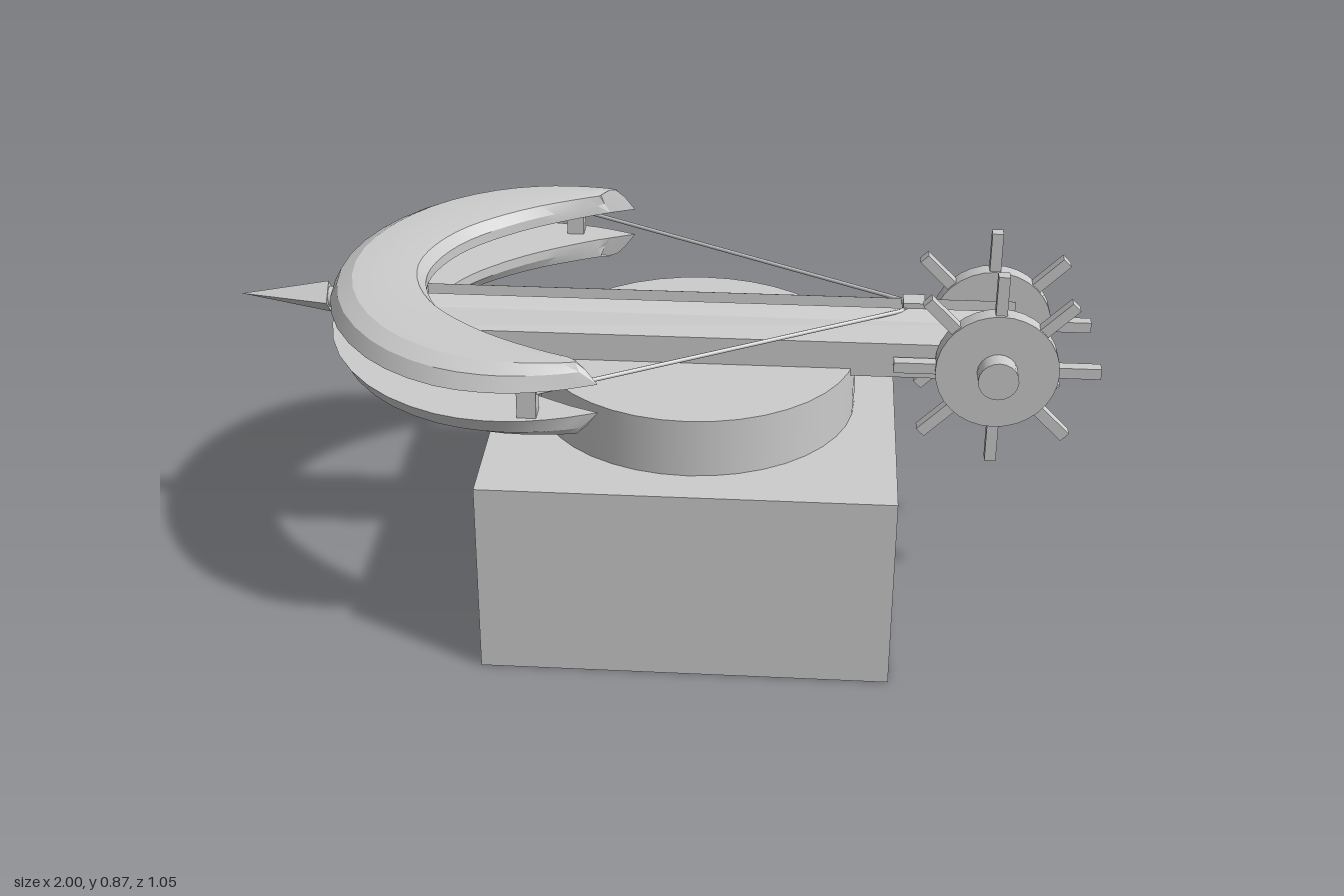
import * as THREE from 'three';
import { toCreasedNormals } from 'three/addons/utils/BufferGeometryUtils.js';

const grey = new THREE.MeshStandardMaterial({ color: 0xcccccc });

function add(parent, name, geometry, x = 0, y = 0, z = 0) {
  const mesh = new THREE.Mesh(geometry, grey);
  mesh.name = name;
  mesh.position.set(x, y, z);
  parent.add(mesh);
  return mesh;
}

const curve = (pts) => new THREE.CatmullRomCurve3(pts.map(([x, z]) => new THREE.Vector3(x, 0, z)));
// Mirror a half outline (tip to centre) across z = 0
const mirrored = (half) => curve([...half, ...half.slice(0, -1).reverse().map(([x, z]) => [x, -z])]);

// Crescent limb lofted between an inner and an outer plan curve
function limbGeometry(sign) {
  const outer = mirrored([[-0.11, 0.47], [-0.2, 0.505], [-0.32, 0.525], [-0.46, 0.5], [-0.61, 0.4], [-0.73, 0.22], [-0.775, 0]]);
  const inner = mirrored([[-0.17, 0.445], [-0.25, 0.4], [-0.35, 0.335], [-0.44, 0.255], [-0.5, 0.18], [-0.54, 0.09], [-0.555, 0]]);
  // [fraction from inner to outer edge, height off the middle plane]
  const section = [[0, 0.034], [0, 0.058], [0.09, 0.083], [0.45, 0.09], [0.76, 0.087], [0.92, 0.068], [1, 0.034]];
  const n = section.length, steps = 32, pos = [], index = [];
  for (let i = 0; i <= steps; i++) {
    const a = inner.getPoint(i / steps), b = outer.getPoint(i / steps);
    const rake = i === 0 || i === steps ? 0.6 : 0; // tips slope back away from the middle plane
    for (const [w, h] of section) {
      const p = a.clone().lerp(b, w);
      pos.push(p.x - rake * (h - 0.034), sign * h, p.z);
    }
  }
  const tri = (a, b, c) => (sign > 0 ? index.push(a, c, b) : index.push(a, b, c));
  for (let i = 0; i < steps; i++) {
    for (let j = 0; j < n; j++) {
      const a = i * n + j, b = i * n + (j + 1) % n, c = a + n, d = b + n;
      tri(a, b, c);
      tri(b, d, c);
    }
  }
  // Blunt tips
  for (let j = 1; j < n - 1; j++) {
    tri(0, j + 1, j);
    tri(steps * n, steps * n + j, steps * n + j + 1);
  }
  const g = new THREE.BufferGeometry();
  g.setAttribute('position', new THREE.Float32BufferAttribute(pos, 3));
  g.setIndex(index);
  return toCreasedNormals(g, 0.4);
}

// Stock: bevelled bar with a bolt groove, its front end raked underneath
function stockGeometry() {
  const half = [[0.095, 0.59], [0.095, 0.675], [0.062, 0.716], [0.026, 0.733], [0.024, 0.695]];
  const outline = [...half, ...half.slice().reverse().map(([z, y]) => [-z, y])];
  const shape = new THREE.Shape(outline.map(([z, y]) => new THREE.Vector2(z, y)));
  const g = new THREE.ExtrudeGeometry(shape, { depth: 1.4, bevelEnabled: false });
  g.rotateY(-Math.PI / 2);
  g.translate(0.81, 0, 0);
  const p = g.attributes.position;
  for (let i = 0; i < p.count; i++) {
    if (p.getX(i) < 0) p.setX(i, p.getY(i) < 0.6 ? -0.59 : -0.7);
  }
  g.computeVertexNormals();
  return g;
}

function makeWheel(side) {
  const wheel = new THREE.Group();
  wheel.name = side > 0 ? 'leftWheel' : 'rightWheel';
  wheel.position.set(0.765, 0.633, side * 0.118);
  add(wheel, 'wheelDisc', new THREE.CylinderGeometry(0.14, 0.14, 0.042, 32)).rotation.x = Math.PI / 2;
  for (let i = 0; i < 8; i++) {
    const a = (i * Math.PI) / 4;
    const handle = add(wheel, 'handle', new THREE.BoxGeometry(0.115, 0.026, 0.028), Math.cos(a) * 0.1765, Math.sin(a) * 0.1765, 0);
    handle.rotation.z = a;
  }
  return wheel;
}

export function createModel() {
  const model = new THREE.Group();
  model.name = 'mountedCrossbow';

  // Pedestal and turntable
  add(model, 'base', new THREE.BoxGeometry(0.933, 0.47, 0.935), 0.0765, 0.235, 0);
  add(model, 'turntable', new THREE.CylinderGeometry(0.373, 0.373, 0.138, 40), 0.075, 0.539, 0);

  // Stock and string catch
  add(model, 'stock', stockGeometry());
  add(model, 'stringCatch', new THREE.BoxGeometry(0.05, 0.065, 0.05), 0.575, 0.7125, 0);

  // Twin bow limbs and the spacers between them
  add(model, 'upperLimb', limbGeometry(1), 0, 0.71, 0);
  add(model, 'lowerLimb', limbGeometry(-1), 0, 0.71, 0);
  add(model, 'centreSpacer', new THREE.BoxGeometry(0.18, 0.075, 0.08), -0.65, 0.71, 0);

  for (const side of [1, -1]) {
    add(model, 'tipSpacer', new THREE.BoxGeometry(0.042, 0.075, 0.046), -0.26, 0.71, side * 0.483);
    // String half from limb tip to catch
    const path = new THREE.LineCurve3(new THREE.Vector3(-0.245, 0.728, side * 0.488), new THREE.Vector3(0.555, 0.728, side * 0.026));
    add(model, 'string', new THREE.TubeGeometry(path, 1, 0.005, 8));
    model.add(makeWheel(side));
  }
  add(model, 'stringLoop', new THREE.BoxGeometry(0.01, 0.01, 0.06), 0.553, 0.728, 0);

  // Winding axle
  add(model, 'axle', new THREE.CylinderGeometry(0.046, 0.046, 0.37, 20), 0.765, 0.633, 0).rotation.x = Math.PI / 2;

  // Front spike
  add(model, 'spikeNeck', new THREE.CylinderGeometry(0.024, 0.024, 0.08, 12), -0.775, 0.704, 0).rotation.z = Math.PI / 2;
  const spike = new THREE.ConeGeometry(0.04, 0.21, 4).toNonIndexed();
  spike.computeVertexNormals();
  add(model, 'spike', spike, -0.895, 0.704, 0).rotation.z = Math.PI / 2;

  return model;
}
